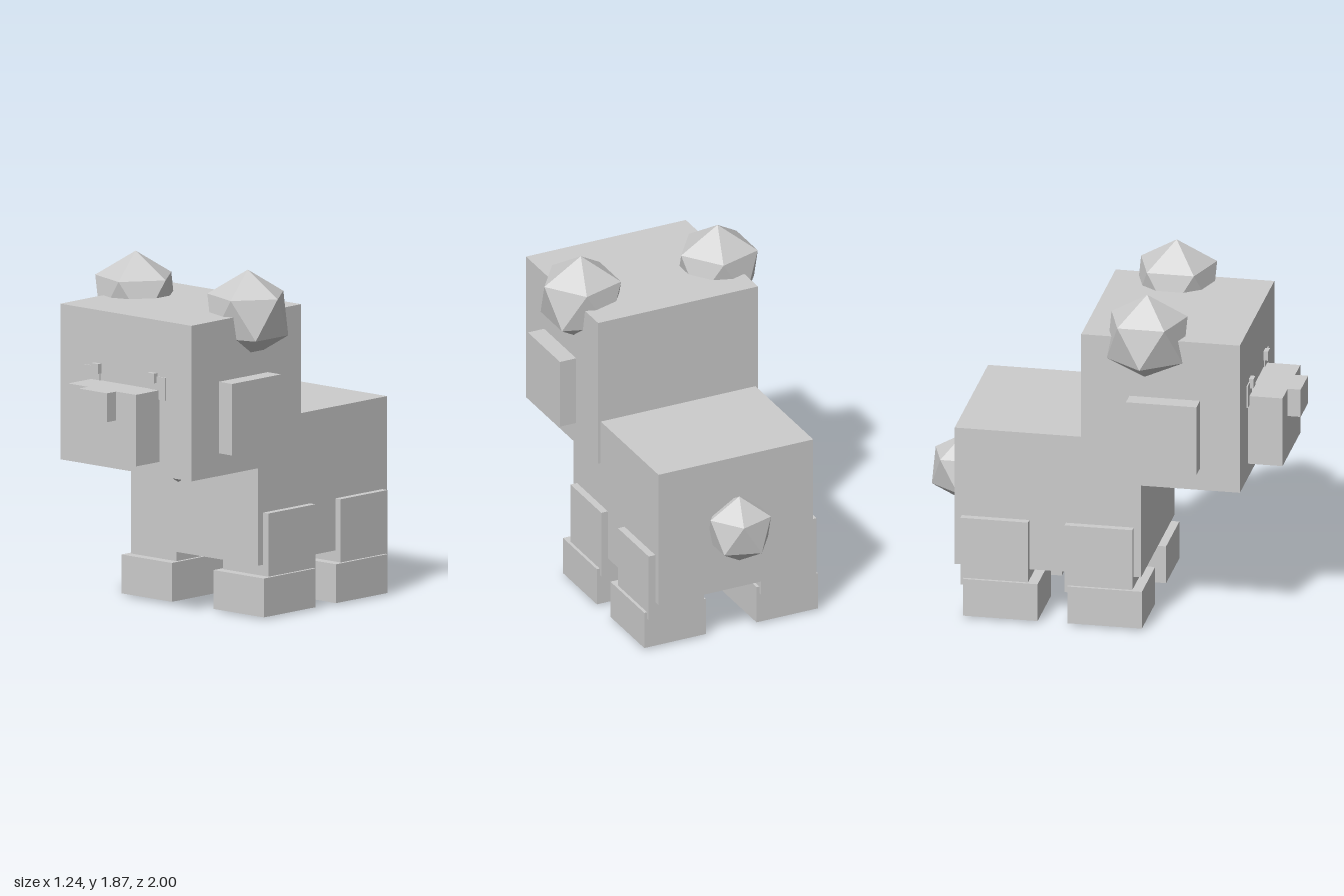
import * as THREE from 'three';

export function createModel() {
  const model = new THREE.Group();
  model.name = 'blockBear';
  const grey = new THREE.MeshStandardMaterial({ color: 0xcccccc, flatShading: true });
  grey.name = 'light grey';

  const add = (name, geometry) => {
    const mesh = new THREE.Mesh(geometry, grey);
    mesh.name = name;
    model.add(mesh);
  };

  // Box given by its lower and upper limits on each axis
  const box = (name, [x0, x1], [y0, y1], [z0, z1]) => {
    const geometry = new THREE.BoxGeometry(x1 - x0, y1 - y0, z1 - z0);
    geometry.translate((x0 + x1) / 2, (y0 + y1) / 2, (z0 + z1) / 2);
    add(name, geometry);
  };

  // A box on the left (+x) and its mirror image on the right
  const pair = (name, [x0, x1], y, z) => {
    box(name + 'Left', [x0, x1], y, z);
    box(name + 'Right', [-x1, -x0], y, z);
  };

  // Twenty-sided ball standing on one corner
  const puff = (name, radius, x, y, z) => {
    const geometry = new THREE.IcosahedronGeometry(radius, 0);
    geometry.rotateZ(-Math.atan(2 / (1 + Math.sqrt(5))));
    geometry.translate(x, y, z);
    add(name, geometry);
  };

  // Body and head
  box('body', [-0.457, 0.457], [0.28, 1.055], [-0.795, 0.21]);
  box('belly', [-0.36, 0.36], [0.27, 0.6], [-0.66, 0.1]);
  box('head', [-0.472, 0.472], [0.808, 1.645], [-0.11, 0.745]);

  // Face
  box('muzzle', [-0.244, 0.244], [0.885, 1.27], [0.7, 0.93]);
  box('nose', [-0.102, 0.102], [1.115, 1.27], [0.85, 1.0]);
  pair('eye', [0.182, 0.29], [1.22, 1.343], [0.744, 0.752]);
  pair('eyeHighlight', [0.176, 0.227], [1.308, 1.36], [0.735, 0.77]);
  pair('cheek', [0.4, 0.568], [0.93, 1.315], [0.15, 0.53]);

  // Ears, chin tuft and tail
  puff('earLeft', 0.241, 0.404, 1.628, 0.232);
  puff('earRight', 0.241, -0.404, 1.628, 0.232);
  puff('chinTuft', 0.136, 0, 0.826, 0.336);
  puff('tail', 0.19, 0, 0.65, -0.836);

  // Legs with feet and sole pads
  for (const [name, z] of [['front', 0], ['back', -0.562]]) {
    pair(name + 'Leg', [0.168, 0.496], [0.18, 0.56], [z - 0.195, z + 0.17]);
    pair(name + 'Foot', [0.15, 0.513], [0.011, 0.22], [z - 0.177, z + 0.225]);
    pair(name + 'Pad', [0.22, 0.443], [0, 0.02], [z - 0.09, z + 0.172]);
  }

  return model;
}
